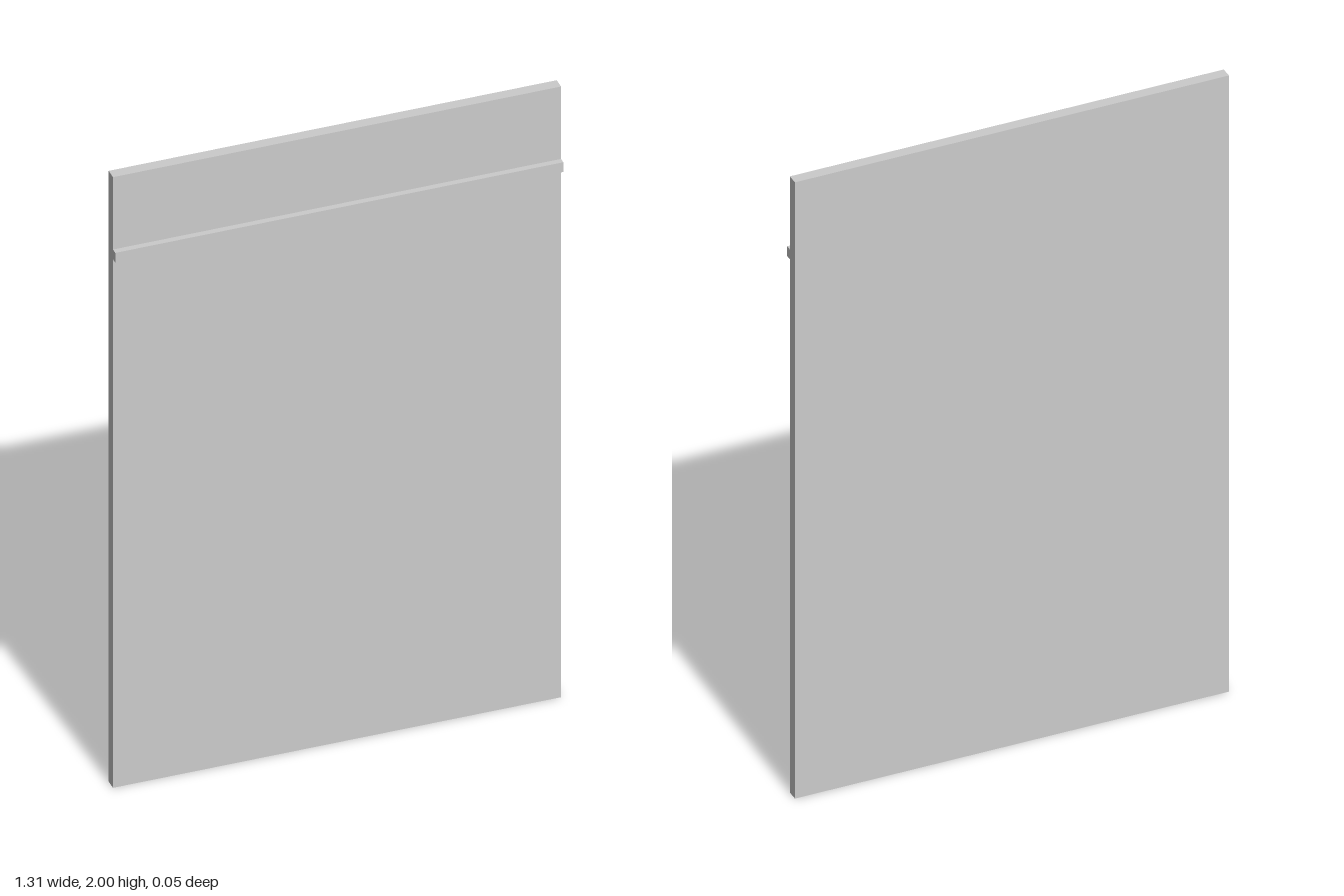
import * as THREE from 'three';

export function createModel() {
  const group = new THREE.Group();
  const material = new THREE.MeshStandardMaterial({ color: 0xcccccc });
  const width = 1.31;

  // Full-width box given by its y and z extents
  function addBox(name, y0, y1, z0, z1) {
    const mesh = new THREE.Mesh(new THREE.BoxGeometry(width, y1 - y0, z1 - z0), material);
    mesh.position.set(0, (y0 + y1) / 2, (z0 + z1) / 2);
    mesh.name = name;
    group.add(mesh);
  }

  // Flat upright panel
  addBox('panel', 0, 2, -0.026, 0.008);
  // Slim horizontal rail across the front
  addBox('rail', 1.731, 1.763, 0.008, 0.026);

  return group;
}
